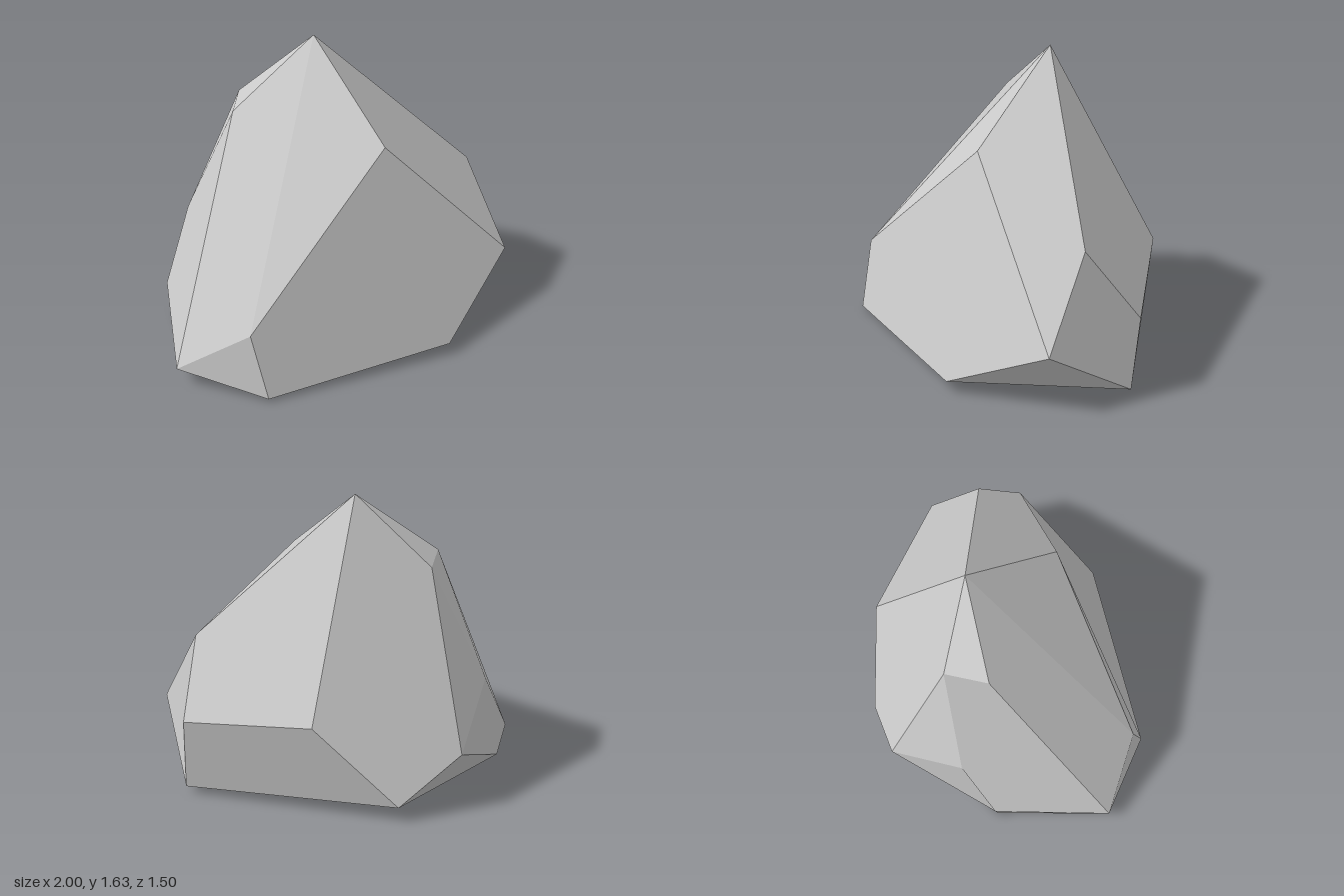
import * as THREE from 'three';

// Corners of the faceted boulder, from the peak down to the base
const corners = [
  // 0-3: peak and upper ridge
  [0.06, 1.63, -0.16], [-0.40, 1.27, -0.20], [-0.27, 1.26, -0.40], [0.19, 1.20, 0.39],
  // 4-9: shoulders
  [0.84, 0.83, 0.18], [0.47, 0.55, -0.57], [-0.59, 0.58, -0.43],
  [1.00, 0.45, -0.06], [0.94, 0.36, 0.47], [-0.68, 0.39, 0.55],
  // 10-12: lower belt
  [-0.30, 0.33, -0.75], [-0.79, 0.20, -0.31], [-1.00, 0.11, 0.30],
  // 13-17: base
  [0.42, 0.07, 0.75], [0.99, 0.04, -0.02], [0.06, 0.09, -0.75],
  [-0.76, 0.00, -0.28], [-0.63, 0.02, 0.65],
].map((c) => new THREE.Vector3(...c));

// Facets, anticlockwise from outside; each is fanned from its first corner
const facets = [
  [17, 13, 8, 3, 9], [13, 14, 8], [9, 12, 17],           // front
  [3, 8, 4, 0], [0, 4, 7, 5], [8, 14, 7, 4], [14, 15, 5, 7], // left flank
  [10, 2, 0, 5, 15], [2, 10, 6], [0, 2, 1], [6, 10, 16, 11], // back
  [1, 2, 6, 11, 12], [11, 16, 12], [9, 0, 1, 12], [0, 9, 3], // right flank
  [17, 16, 15, 14, 13], [12, 16, 17], [10, 15, 16],      // underside
];

// One shared normal per facet, so slightly bent facets still read as flat
function facetGeometry() {
  const positions = [];
  const normals = [];
  for (const facet of facets) {
    const [first, ...rest] = facet.map((i) => corners[i]);
    const normal = new THREE.Vector3();
    for (let i = 0; i < rest.length - 1; i++) {
      const a = rest[i].clone().sub(first);
      const b = rest[i + 1].clone().sub(first);
      normal.add(a.cross(b));
      for (const p of [first, rest[i], rest[i + 1]]) positions.push(p.x, p.y, p.z);
    }
    normal.normalize();
    for (let i = 0; i < (rest.length - 1) * 3; i++) normals.push(normal.x, normal.y, normal.z);
  }
  const geometry = new THREE.BufferGeometry();
  geometry.setAttribute('position', new THREE.Float32BufferAttribute(positions, 3));
  geometry.setAttribute('normal', new THREE.Float32BufferAttribute(normals, 3));
  return geometry;
}

export function createModel() {
  const group = new THREE.Group();
  group.name = 'rock';

  // Solid stone
  const boulder = new THREE.Mesh(facetGeometry(), new THREE.MeshStandardMaterial({ color: 0xcccccc }));
  boulder.name = 'boulder';
  group.add(boulder);

  return group;
}
